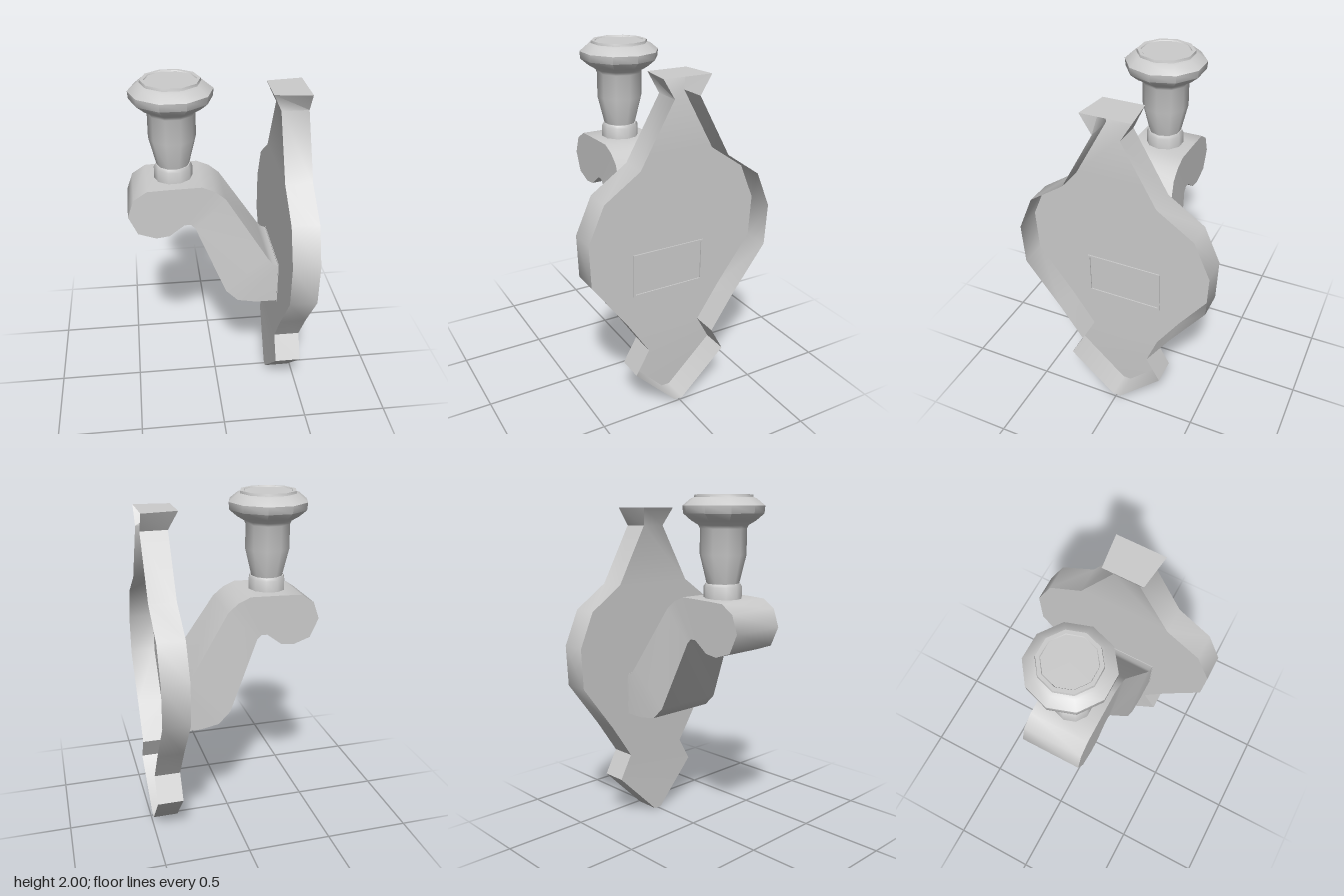
import * as THREE from 'three';
import { toCreasedNormals } from 'three/addons/utils/BufferGeometryUtils.js';

const grey = new THREE.MeshStandardMaterial({ color: 0xcccccc });
const greyOpen = new THREE.MeshStandardMaterial({ color: 0xcccccc, side: THREE.DoubleSide });

function part(name, geometry, material = grey) {
  const mesh = new THREE.Mesh(toCreasedNormals(geometry, 0.9), material);
  mesh.name = name;
  return mesh;
}

// Skin four-cornered sections; with 3 sides the last one stays open. Both ends are capped.
function loft(sections, sides) {
  const index = [];
  const quad = (a, b, c, d) => index.push(a, b, c, a, c, d);
  const last = (sections.length - 1) * 4;
  for (let s = 0; s < last; s += 4) {
    for (let j = 0; j < sides; j++) {
      const k = (j + 1) % 4;
      quad(s + j, s + 4 + j, s + 4 + k, s + k);
    }
  }
  quad(0, 1, 2, 3);
  quad(last, last + 3, last + 2, last + 1);
  const geometry = new THREE.BufferGeometry();
  geometry.setAttribute('position', new THREE.Float32BufferAttribute(sections.flat(2), 3));
  geometry.setIndex(index);
  return geometry;
}

// Shield-like wall plate, a shallow tray open towards the wall.
// Rows: y, half width, then optional x offset of front and back, half width at front
function wallPlate() {
  const rows = [
    [0, 0.025, -0.01, -0.01], [0.27, 0.29], [0.415, 0.21], [0.62, 0.345], [0.9, 0.55],
    [1.14, 0.56], [1.345, 0.47], [1.485, 0.265], [1.825, 0.075], [1.93, 0.14, -0.05, 0, 0.115],
  ];
  return loft(rows.map(([y, w, front = 0, back = 0, wFront = w]) => {
    const xf = 0.345 + front;
    const xb = 0.497 + back;
    return [[xb, y, w], [xf, y, wFront], [xf, y, -wFront], [xb, y, -w]];
  }), 3);
}

// Hooked arm. Rungs from the tip to the plate: upper x, y, lower x, y, half depth
function arm() {
  const rungs = [
    [-0.5, 1.285, -0.5, 1.285, 0.17], [-0.465, 1.385, -0.45, 1.175, 0.17],
    [-0.39, 1.435, -0.35, 1.14, 0.17], [-0.28, 1.44, -0.275, 1.15, 0.17],
    [-0.09, 1.445, -0.19, 1.215, 0.17], [-0.02, 1.415, -0.155, 1.215, 0.17],
    [0.04, 1.365, -0.13, 1.19, 0.171], [0.28, 0.99, 0.04, 0.78, 0.217],
    [0.31, 0.95, 0.11, 0.71, 0.22], [0.345, 0.935, 0.22, 0.69, 0.222],
    [0.345, 0.935, 0.345, 0.69, 0.222],
  ];
  return loft(rungs.map(([ux, uy, lx, ly, d]) => [
    [ux, uy, d], [ux, uy, -d], [lx, ly, -d], [lx, ly, d],
  ]), 4);
}

// Ten-sided turned piece on the hook
function turned(profile) {
  const points = profile.map(([r, y]) => new THREE.Vector2(r, y));
  return new THREE.LatheGeometry(points, 10, Math.PI / 2).translate(-0.235, 0, 0);
}

export function createModel() {
  const model = new THREE.Group();
  model.name = 'wallLamp';
  model.add(part('wallPlate', wallPlate(), greyOpen));
  model.add(part('arm', arm()));

  model.add(part('collar', turned([
    [0, 1.42], [0.107, 1.42], [0.107, 1.505], [0.098, 1.522], [0, 1.522],
  ])));
  model.add(part('cup', turned([
    [0, 1.515], [0.09, 1.515], [0.13, 1.68], [0.13, 1.82], [0.138, 1.838], [0.178, 1.862],
    [0.223, 1.9], [0.227, 1.942], [0.18, 1.98], [0.163, 1.986], [0.16, 2], [0.14, 2],
    [0.137, 1.995], [0, 1.995],
  ])));

  // Thin rectangular rim inside the plate, where the arm is fixed
  const mount = new THREE.Group();
  mount.name = 'armMount';
  for (const s of [-1, 1]) {
    mount.add(part('rimSide', new THREE.BoxGeometry(0.01, 0.26, 0.012).translate(0.347, 0.8125, s * 0.219)));
    mount.add(part('rimRail', new THREE.BoxGeometry(0.01, 0.012, 0.426).translate(0.347, 0.8125 + s * 0.124, 0)));
  }
  model.add(mount);
  return model;
}
